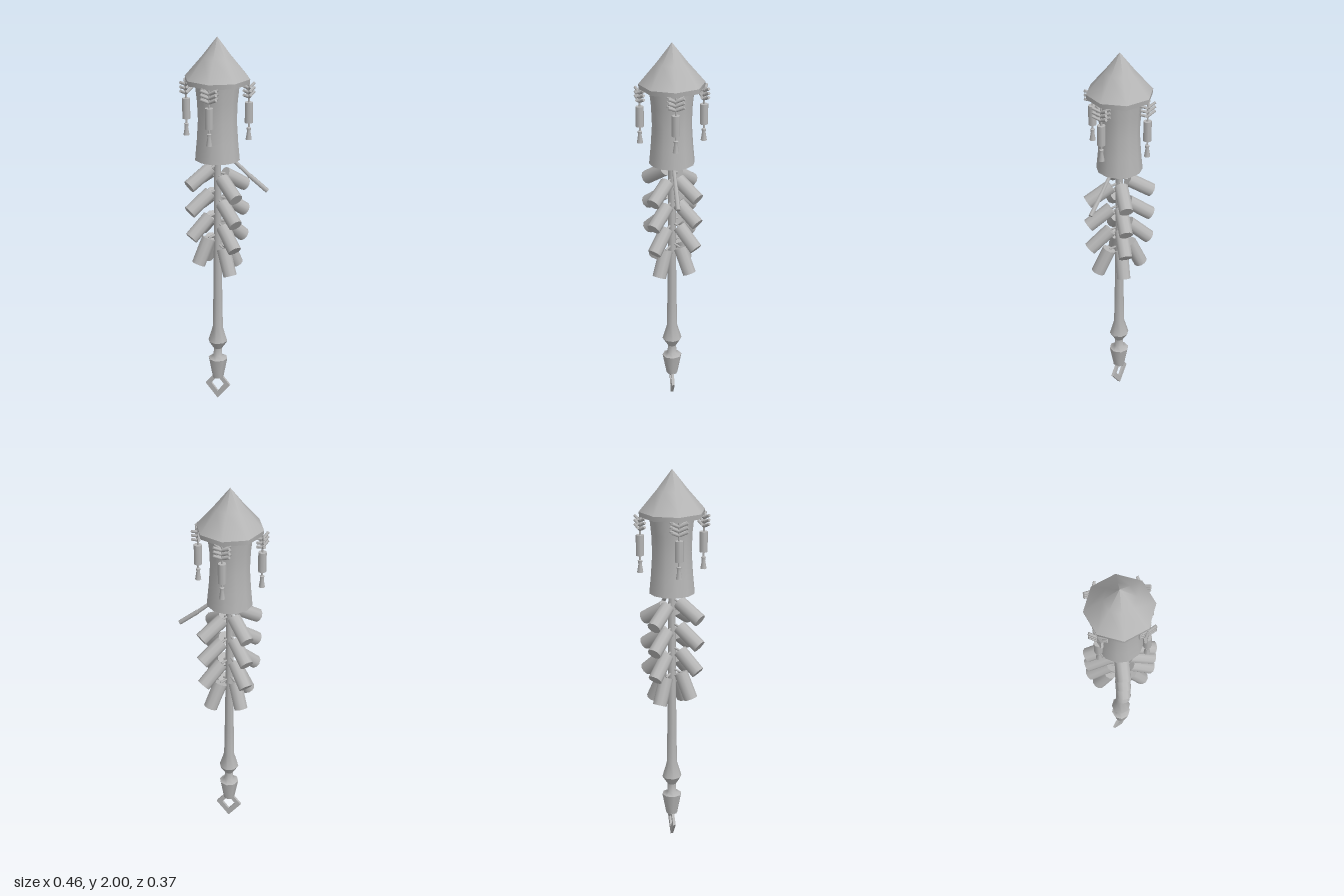
import * as THREE from 'three';
import { mergeGeometries } from 'three/addons/utils/BufferGeometryUtils.js';

const grey = new THREE.MeshStandardMaterial({ color: 0xb6b6b6 });
const AXIS_X = -0.045;

function add(parent, name, geometry, x = 0, y = 0, z = 0) {
  const mesh = new THREE.Mesh(geometry, grey);
  mesh.name = name;
  mesh.position.set(x, y, z);
  parent.add(mesh);
  return mesh;
}

// Each strip is a smooth profile, listed bottom to top; edges between strips stay sharp
function turned(sides, ...strips) {
  return mergeGeometries(strips.map((strip) =>
    new THREE.LatheGeometry(strip.map(([r, y]) => new THREE.Vector2(r, y)), sides)));
}

// Cylinder laid between two points
function rod(parent, name, from, to, radius, sides) {
  const a = new THREE.Vector3(...from), b = new THREE.Vector3(...to);
  const dir = b.clone().sub(a);
  const mesh = add(parent, name, new THREE.CylinderGeometry(radius, radius, dir.length(), sides));
  mesh.position.copy(a).add(b).multiplyScalar(0.5);
  mesh.quaternion.setFromUnitVectors(new THREE.Vector3(0, 1, 0), dir.normalize());
  return mesh;
}

// Hanging ornament: three layers of crossed sticks, a small tube and a flared tassel
function createCharm() {
  const charm = new THREE.Group();
  charm.name = 'hangingCharm';
  for (let i = 0; i < 3; i++) {
    const y = 1.705 + i * 0.022;
    for (const sx of [-1, 1]) for (const sz of [-1, 1]) {
      rod(charm, 'charmStick', [0, y, 0], [sx * 0.04, y + 0.02, sz * 0.018], 0.0075, 6);
    }
  }
  rod(charm, 'charmString', [0, 1.53, 0], [0, 1.77, 0], 0.005, 6);
  add(charm, 'charmTube', new THREE.CylinderGeometry(0.021, 0.021, 0.105, 8), 0, 1.627, 0);
  add(charm, 'charmTassel', turned(8,
    [[0, 1.488], [0.016, 1.488]],
    [[0.016, 1.488], [0.009, 1.53], [0.012, 1.548]],
    [[0.012, 1.548], [0, 1.555]]));
  return charm;
}

export function createModel() {
  const model = new THREE.Group();
  model.name = 'firecrackerRocketStaff';
  const staff = new THREE.Group();
  staff.name = 'staff';
  staff.position.x = AXIS_X;
  model.add(staff);

  // Eight-sided conical roof and waisted rocket body
  add(staff, 'roof', turned(8,
    [[0, 1.77], [0.165, 1.77]],
    [[0.165, 1.77], [0.168, 1.795]],
    [[0.168, 1.795], [0.078, 1.9], [0, 2]]));
  add(staff, 'rocketBody', turned(12,
    [[0, 1.375], [0.117, 1.375]],
    [[0.117, 1.375], [0.108, 1.47], [0.101, 1.58], [0.105, 1.68], [0.116, 1.775]]));

  // Pole with two turned swellings at the lower end
  add(staff, 'pole', turned(8,
    [[0, 0.13], [0.03, 0.13]],
    [[0.03, 0.13], [0.052, 0.245]],
    [[0.052, 0.245], [0.024, 0.26], [0.023, 0.305]],
    [[0.023, 0.305], [0.052, 0.35]],
    [[0.052, 0.35], [0.028, 0.43], [0.025, 0.6], [0.021, 0.9], [0.019, 1.38]]));

  // Flat diamond ring at the foot
  const diamond = new THREE.Shape([[0, 0], [0.068, 0.085], [0.026, 0.137], [-0.026, 0.137], [-0.068, 0.085]]
    .map(([x, y]) => new THREE.Vector2(x, y)));
  diamond.holes.push(new THREE.Path([[0, 0.042], [-0.036, 0.088], [0, 0.134], [0.036, 0.088]]
    .map(([x, y]) => new THREE.Vector2(x, y))));
  add(staff, 'footRing', new THREE.ExtrudeGeometry(diamond, { depth: 0.014, bevelEnabled: false }), 0, 0, -0.007);

  // Charms under the four main corners of the roof
  for (let i = 0; i < 4; i++) {
    const arm = new THREE.Group();
    arm.name = 'charmArm';
    arm.rotation.y = i * Math.PI / 2;
    const charm = createCharm();
    charm.position.z = 0.162;
    arm.add(charm);
    staff.add(arm);
  }

  // Four columns of firecrackers, each row hanging more steeply
  const columns = [ // azimuth from +x towards +z in degrees, height shift
    [42, 0], [135, 0.053], [225, 0.03], [315, 0.012]];
  const rows = [ // height, distance from the pole, slope in degrees
    [1.237, 0.105, 32], [1.102, 0.105, 35], [0.967, 0.103, 42], [0.832, 0.085, 65]];
  const half = 0.073;
  for (const [azimuth, shift] of columns) {
    const a = THREE.MathUtils.degToRad(azimuth);
    for (const [height, distance, slope] of rows) {
      const s = THREE.MathUtils.degToRad(slope);
      const point = (t) => {
        const r = distance + t * Math.cos(s);
        return [r * Math.cos(a), height + shift - t * Math.sin(s), r * Math.sin(a)];
      };
      rod(staff, 'firecracker', point(-half), point(half), 0.036, 10);
      rod(staff, 'firecrackerWick', [0, point(-half)[1] + 0.015, 0], point(-half), 0.006, 6);
    }
  }

  // Bent fuse leaving the bottom of the body
  const fuse = [[0.07, 1.385, 0], [0.165, 1.3, 0], [0.262, 1.222, 0]];
  rod(staff, 'fuseUpper', fuse[0], fuse[1], 0.01, 6);
  rod(staff, 'fuseLower', fuse[1], fuse[2], 0.012, 6);

  return model;
}
